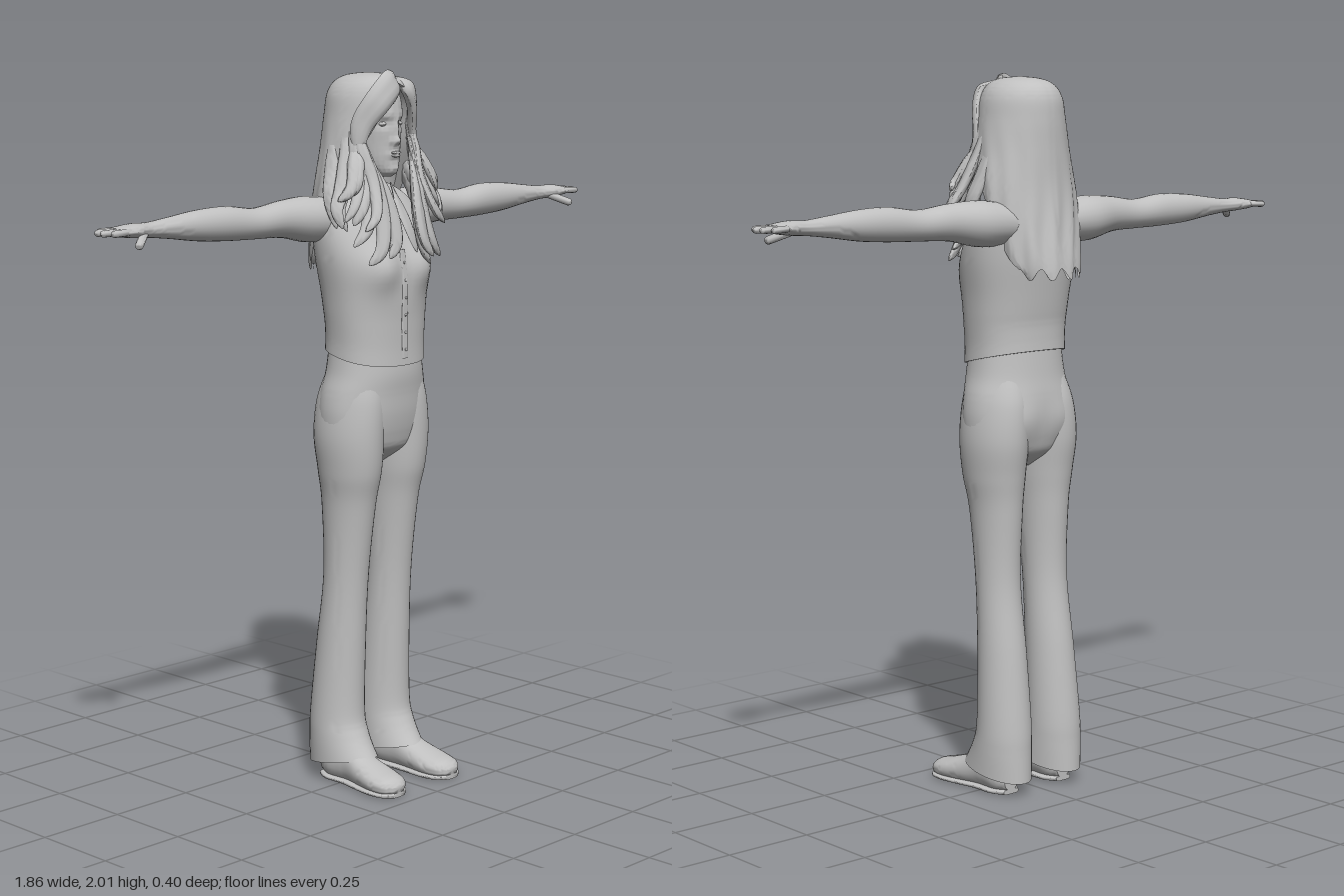
import * as THREE from 'three';
import { toCreasedNormals } from 'three/addons/utils/BufferGeometryUtils.js';

const V = (x, y, z) => new THREE.Vector3(x, y, z);

// Skin a list of closed rings, optionally closing both ends
function skin(rings, capped = true) {
  const n = rings[0].length, pos = [], index = [];
  rings.forEach(r => r.forEach(p => pos.push(p.x, p.y, p.z)));
  for (let i = 0; i < rings.length - 1; i++)
    for (let j = 0; j < n; j++) {
      const a = i * n + j, b = i * n + (j + 1) % n, c = a + n, d = b + n;
      index.push(a, c, b, b, c, d);
    }
  if (capped) [0, rings.length - 1].forEach((k, end) => {
    const m = V(0, 0, 0);
    rings[k].forEach(p => m.addScaledVector(p, 1 / n));
    const id = pos.length / 3;
    pos.push(m.x, m.y, m.z);
    for (let j = 0; j < n; j++) {
      const a = k * n + j, b = k * n + (j + 1) % n;
      index.push(...(end ? [id, b, a] : [id, a, b]));
    }
  });
  const g = new THREE.BufferGeometry();
  g.setAttribute('position', new THREE.Float32BufferAttribute(pos, 3));
  g.setIndex(index);
  return g;
}

// Smoothly interpolate rows of numbers
function smoothRows(rows, steps) {
  const out = [], at = i => rows[Math.min(rows.length - 1, Math.max(0, i))];
  for (let i = 0; i < rows.length - 1; i++)
    for (let s = 0; s < steps; s++) {
      const t = s / steps, [a, b, c, d] = [at(i - 1), at(i), at(i + 1), at(i + 2)];
      out.push(b.map((_, k) => b[k] + 0.5 * t * (c[k] - a[k] + t * (2 * a[k] - 5 * b[k] + 4 * c[k] - d[k]
        + t * (3 * (b[k] - c[k]) + d[k] - a[k])))));
    }
  out.push(rows[rows.length - 1]);
  return out;
}

// Rows are [position along axis, centre u, centre v, radius u, radius v]
const place = { y: (t, u, v) => V(u, t, v), x: (t, u, v) => V(t, v, u), z: (t, u, v) => V(v, u, t) };
function loft(rows, axis = 'y', { n = 32, steps = 6, power = 2 } = {}) {
  const q = c => Math.sign(c) * Math.abs(c) ** (2 / power);
  return skin(smoothRows(rows, steps).map(([t, cu, cv, ru, rv]) =>
    Array.from({ length: n }, (_, j) => {
      const a = j / n * Math.PI * 2;
      return place[axis](t, cu + ru * q(Math.cos(a)), cv + rv * q(Math.sin(a)));
    })));
}

function warp(g, fn) {
  const p = g.attributes.position, v = V(0, 0, 0);
  for (let i = 0; i < p.count; i++) {
    fn(v.fromBufferAttribute(p, i));
    p.setXYZ(i, v.x, v.y, v.z);
  }
  return g;
}

// Soft mounds pushed along z on both sides: [x, y, radius x, radius y, amount]
function mounds(g, list, side = 1) {
  return warp(g, v => {
    if (v.z * side < 0) return;
    const fade = Math.min(1, Math.abs(v.z) / 0.05);
    let dz = 0;
    for (const [x, y, rx, ry, k] of list)
      dz += k * Math.exp(-(((Math.abs(v.x) - x) / rx) ** 2) - ((v.y - y) / ry) ** 2);
    v.z += dz * fade;
  });
}

function mirror(g) {
  const m = g.clone().scale(-1, 1, 1), a = m.index.array;
  for (let i = 0; i < a.length; i += 3) [a[i], a[i + 1]] = [a[i + 1], a[i]];
  return m;
}

// Flat tapering lock lying against the body
function lock(points, width, thick, tip = 0.1) {
  const curve = new THREE.CatmullRomCurve3(points.map(p => V(...p))), rings = [];
  for (let i = 0; i <= 22; i++) {
    const s = i / 22, c = curve.getPoint(s), T = curve.getTangent(s);
    const side = T.clone().cross(V(c.x, 0.02, c.z + 0.04)).normalize(), out = side.clone().cross(T);
    const k = Math.max(tip, Math.min(1, 0.45 + s * 2) * Math.sqrt(1 - s ** 3));
    rings.push(Array.from({ length: 14 }, (_, j) => {
      const a = j / 14 * Math.PI * 2, groove = 1 + 0.25 * Math.cos(6 * a);
      return c.clone().addScaledVector(side, width * k * Math.cos(a)).addScaledVector(out, thick * k * groove * Math.sin(a));
    }));
  }
  return skin(rings);
}

export function createModel() {
  const root = new THREE.Group();
  root.name = 'standingWoman';
  const grey = new THREE.MeshStandardMaterial({ color: 0xc0c0c0, side: THREE.DoubleSide });
  grey.name = 'plain grey';
  const add = (name, g) => {
    const m = new THREE.Mesh(toCreasedNormals(g, 1.0), grey);
    m.name = name;
    root.add(m);
  };
  const pair = (name, g) => { add(name + 'Left', g); add(name + 'Right', mirror(g)); };
  const ball = (x, y, z, rx, ry, rz) => new THREE.SphereGeometry(1, 16, 10).scale(rx, ry, rz).translate(x, y, z);

  // Shirt, its hem higher at the back
  const shirt = loft([[1.2, 0, 0.006, 0.149, 0.115], [1.25, 0, 0.006, 0.149, 0.113], [1.32, 0, 0.006, 0.154, 0.113],
    [1.4, 0, 0.002, 0.162, 0.117], [1.5, 0, -0.01, 0.177, 0.115], [1.58, 0, -0.027, 0.18, 0.1],
    [1.64, 0, -0.045, 0.17, 0.08], [1.68, 0, -0.05, 0.115, 0.06], [1.7, 0, -0.045, 0.05, 0.045]],
  'y', { n: 48, power: 2.3 });
  warp(shirt, v => { v.y += Math.max(0, 1 - (v.y - 1.2) / 0.15) * (0.12 - v.z) * 0.22; });
  add('shirt', mounds(shirt, [[0.08, 1.47, 0.06, 0.06, 0.03]]));

  // Button band and collar
  const band = [[0, 1.22, 0.122], [0, 1.32, 0.12], [0, 1.42, 0.122], [0, 1.52, 0.11]];
  add('buttonBand', lock(band, 0.012, 0.004, 0.9));
  const bandCurve = new THREE.CatmullRomCurve3(band.map(p => V(...p)));
  for (let i = 0; i < 6; i++) {
    const p = bandCurve.getPoint(0.08 + i * 0.16);
    add('button', ball(p.x, p.y, p.z + 0.003, 0.004, 0.004, 0.003));
  }
  pair('collar', lock([[0.05, 1.69, 0.02], [0.03, 1.63, 0.075], [0.035, 1.57, 0.105], [0.05, 1.51, 0.12]], 0.026, 0.006));

  // Trousers: hips and flared legs
  const hips = loft([[0.92, 0, -0.005, 0.04, 0.035], [0.96, 0, -0.005, 0.13, 0.085], [1.0, 0, -0.005, 0.166, 0.101],
    [1.06, 0, -0.004, 0.173, 0.111], [1.12, 0, -0.002, 0.166, 0.113], [1.18, 0, 0.004, 0.15, 0.111],
    [1.26, 0, 0.005, 0.14, 0.103]], 'y', { n: 48, power: 2.2 });
  add('hips', mounds(hips, [[0.08, 1.05, 0.06, 0.06, -0.012]], -1));
  const leg = loft([[0.04, 0.094, -0.028, 0.076, 0.114], [0.12, 0.094, -0.045, 0.075, 0.094], [0.2, 0.093, -0.052, 0.073, 0.083],
    [0.4, 0.09, -0.04, 0.066, 0.074], [0.6, 0.088, -0.022, 0.061, 0.067], [0.8, 0.087, -0.012, 0.068, 0.083],
    [0.9, 0.089, -0.006, 0.079, 0.099], [1.0, 0.09, -0.008, 0.086, 0.11], [1.1, 0.082, -0.006, 0.082, 0.108],
    [1.18, 0.07, 0, 0.07, 0.09]], 'y', { n: 36, steps: 8 });
  pair('trouserLeg', warp(leg, v => { v.y += Math.max(0, 1 - v.y / 0.2) * (v.z + 0.14) * 0.22; }));

  // Shoes with thin soles
  const shoe = [[-0.09, 0.04, 0.1, 0.03, 0.025], [-0.05, 0.05, 0.1, 0.05, 0.045], [0.02, 0.055, 0.1, 0.055, 0.046],
    [0.08, 0.042, 0.105, 0.042, 0.052], [0.14, 0.032, 0.108, 0.032, 0.057], [0.185, 0.027, 0.11, 0.025, 0.047],
    [0.207, 0.024, 0.11, 0.012, 0.022]];
  pair('shoe', loft(shoe, 'z', { n: 28, power: 2.2 }));
  pair('sole', loft(shoe.map(([z, , x, , r]) => [z, 0.007, x, 0.007, r + 0.002]), 'z', { n: 28, power: 4 }));

  // Arms and palms
  pair('arm', loft([[0.1, -0.06, 1.6, 0.07, 0.058], [0.2, -0.065, 1.605, 0.068, 0.063], [0.3, -0.06, 1.612, 0.05, 0.05],
    [0.4, -0.055, 1.608, 0.044, 0.042], [0.5, -0.055, 1.615, 0.042, 0.046], [0.6, -0.057, 1.617, 0.038, 0.041],
    [0.7, -0.057, 1.618, 0.03, 0.028], [0.77, -0.057, 1.618, 0.027, 0.02], [0.82, -0.054, 1.62, 0.038, 0.019],
    [0.86, -0.057, 1.62, 0.042, 0.014], [0.875, -0.058, 1.62, 0.036, 0.009]], 'x', { n: 24 }));

  // Fingers and thumb
  const digit = (a, b, r) => {
    const d = V(...b).sub(V(...a)), g = new THREE.CapsuleGeometry(r, d.length() - r, 4, 10);
    return g.applyQuaternion(new THREE.Quaternion().setFromUnitVectors(V(0, 1, 0), d.clone().normalize()))
      .translate(...V(...a).addScaledVector(d, 0.5).toArray());
  };
  [[-0.09, -0.097, 0.9], [-0.07, -0.077, 0.922], [-0.048, -0.052, 0.925], [-0.025, -0.026, 0.91]].forEach(([z0, z1, x]) =>
    pair('finger', digit([0.85, 1.621, z0], [x, 1.619, z1], 0.009)));
  pair('thumb', digit([0.795, 1.612, -0.04], [0.85, 1.586, 0.002], 0.011));

  // Neck, head and face
  add('neck', loft([[1.6, 0, -0.04, 0.055, 0.055], [1.68, 0, -0.03, 0.046, 0.048], [1.78, 0, -0.02, 0.046, 0.05]]));
  const head = loft([[1.717, 0, 0.045, 0.016, 0.018], [1.73, 0, 0.035, 0.036, 0.042], [1.76, 0, 0.012, 0.055, 0.07],
    [1.81, 0, -0.01, 0.068, 0.093], [1.86, 0, -0.017, 0.075, 0.103], [1.91, 0, -0.02, 0.077, 0.105],
    [1.95, 0, -0.02, 0.066, 0.09], [1.98, 0, -0.02, 0.03, 0.045]], 'y', { n: 72, steps: 9 });
  add('head', mounds(head, [[0, 1.845, 0.009, 0.03, 0.011], [0, 1.815, 0.012, 0.012, 0.016], [0.012, 1.81, 0.007, 0.007, 0.006],
    [0.032, 1.862, 0.018, 0.012, -0.009], [0.03, 1.885, 0.025, 0.008, 0.004], [0, 1.779, 0.02, 0.009, 0.009],
    [0, 1.735, 0.018, 0.015, 0.008]]));
  pair('eye', ball(0.031, 1.861, 0.066, 0.013, 0.007, 0.008));
  add('upperLip', ball(0, 1.783, 0.087, 0.019, 0.004, 0.006));
  add('lowerLip', ball(0, 1.775, 0.086, 0.016, 0.005, 0.006));

  // Hair cap falling to a ragged curtain: [y, centre z, radius x, radius z, half angle, inner scale]
  const hairRows = [[1.465, -0.095, 0.115, 0.1, 1.2, 0.93], [1.5, -0.087, 0.13, 0.102, 1.3, 0.88], [1.6, -0.062, 0.148, 0.105, 1.5, 0.8],
    [1.7, -0.04, 0.15, 0.112, 1.75, 0.78], [1.8, -0.025, 0.134, 0.122, 2.0, 0.75], [1.88, -0.02, 0.12, 0.125, 2.15, 0.75],
    [1.94, -0.02, 0.108, 0.119, 2.5, 0.75], [1.975, -0.018, 0.085, 0.1, 3.1, 0.75], [1.992, -0.015, 0.05, 0.065, 3.14, 0.75],
    [1.998, -0.015, 0.004, 0.005, 3.14, 0.75]];
  const hair = skin(smoothRows(hairRows, 7).map(([y, cz, rx, rz, a, k]) => {
    const ring = [], m = 48, low = Math.max(0, Math.min(1, (1.9 - y) / 0.4));
    for (let j = 0; j < 2 * m; j++) {
      const outer = j < m, f = a * (2 * (outer ? j : 2 * m - 1 - j) / (m - 1) - 1);
      const r = outer ? 1 + low * 0.035 * Math.sin(13 * f + 2 * Math.sin(y * 12)) : k;
      ring.push(V(r * rx * Math.sin(f), y + low ** 4 * 0.016 * Math.sin(11 * f + 1), cz - r * rz * Math.cos(f)));
    }
    return ring;
  }), false);
  add('backHair', hair);

  // Side-swept fringe, parted off centre
  add('fringeRight', lock([[0.035, 1.985, 0.03], [-0.01, 1.972, 0.078], [-0.065, 1.925, 0.082], [-0.102, 1.86, 0.055], [-0.115, 1.78, 0.05]], 0.04, 0.017));
  add('fringeRightLower', lock([[0.025, 1.975, 0.06], [-0.02, 1.945, 0.085], [-0.07, 1.89, 0.07], [-0.1, 1.81, 0.05]], 0.026, 0.014));
  add('fringeLeft', lock([[0.03, 1.985, 0.03], [0.055, 1.96, 0.072], [0.085, 1.91, 0.065], [0.105, 1.84, 0.045], [0.12, 1.76, 0.05]], 0.03, 0.016));

  // Curled locks framing the face, each repeated with a small drift
  let seed = 7;
  const rnd = () => ((seed = (seed * 16807) % 2147483647) / 2147483647 - 0.5) * 2;
  const locks = [
    [[0.1, 1.89, 0.02], [0.115, 1.8, 0.045], [0.12, 1.72, 0.07], [0.155, 1.65, 0.09], [0.185, 1.61, 0.085]],
    [[0.1, 1.88, 0.03], [0.108, 1.79, 0.055], [0.1, 1.7, 0.085], [0.125, 1.61, 0.115], [0.165, 1.57, 0.11]],
    [[0.095, 1.82, 0.045], [0.088, 1.72, 0.085], [0.08, 1.62, 0.115], [0.1, 1.54, 0.13], [0.135, 1.51, 0.12]],
    [[0.09, 1.78, 0.055], [0.068, 1.69, 0.09], [0.05, 1.61, 0.115], [0.052, 1.54, 0.13], [0.08, 1.5, 0.13]],
    [[0.11, 1.86, 0], [0.13, 1.76, 0.025], [0.16, 1.68, 0.04], [0.185, 1.63, 0.05], [0.18, 1.58, 0.07]],
    [[0.11, 1.85, -0.04], [0.14, 1.74, -0.02], [0.165, 1.67, 0], [0.165, 1.59, 0.03]],
    [[0.105, 1.82, 0.03], [0.135, 1.75, 0.06], [0.16, 1.7, 0.07], [0.185, 1.68, 0.05]]];
  for (const s of [1, -1])
    for (const path of locks)
      for (let k = 0; k < 2; k++) {
        const d = [rnd() * 0.009, rnd() * 0.014, rnd() * 0.008];
        const pts = path.map((p, i) => p.map((c, j) => c + d[j] * i * 0.6));
        const g = lock(pts, 0.024 - k * 0.005, 0.013);
        add('hairLock', s > 0 ? g : mirror(g));
      }
  return root;
}
